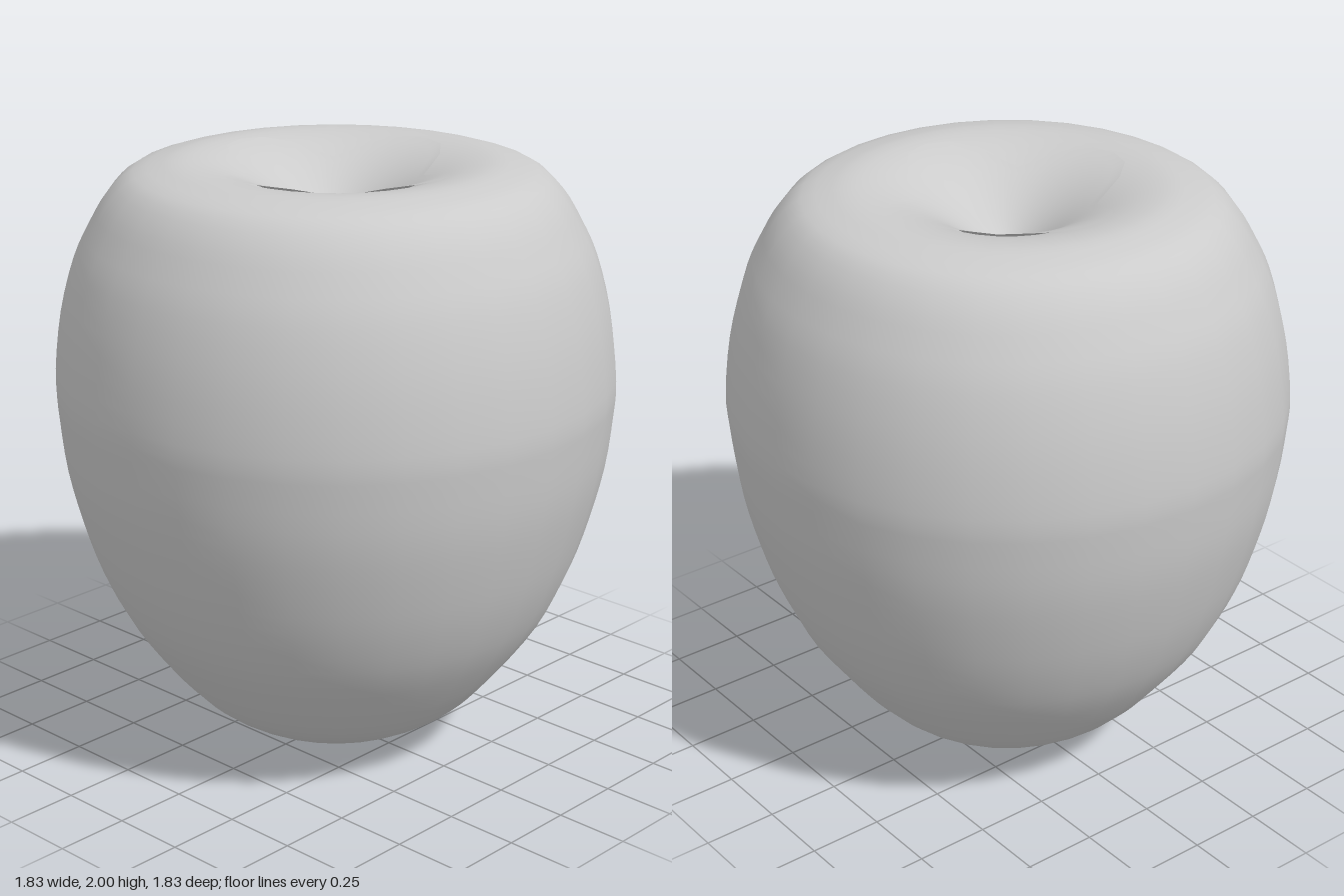
import * as THREE from 'three';
import { mergeVertices } from 'three/addons/utils/BufferGeometryUtils.js';

const SIDES = 32;
const RIM = 0.52; // radius where the top dimple begins

// Height of the dimple at radius r
const dimple = (r) => 2 - 0.31 * (1 - Math.min(1, Math.hypot(r, 0.06) / RIM)) ** 2;

// Radius of the four-lobed calyx at an angle
const LOBE = [0.44, 0.425, 0.373, 0.315, 0.283];
function lobeRadius(angle) {
  const quarter = Math.PI / 2;
  let a = ((angle % quarter) + quarter) % quarter;
  a = Math.min(a, quarter - a);
  const s = Math.min(3.9999, (a / (Math.PI / 4)) * 4);
  const i = Math.floor(s);
  return THREE.MathUtils.lerp(LOBE[i], LOBE[i + 1], s - i);
}

// Lathe a profile, move its vertices by a rule, and smooth across the seam
function shapedLathe(points, rule) {
  let geo = new THREE.LatheGeometry(points, SIDES);
  const pos = geo.attributes.position;
  for (let i = 0; i < pos.count; i++) {
    const x = pos.getX(i), z = pos.getZ(i);
    const angle = Math.atan2(z, x);
    const [r, y] = rule(Math.hypot(x, z), pos.getY(i), angle);
    pos.setXYZ(i, r * Math.cos(angle), y, r * Math.sin(angle));
  }
  geo.deleteAttribute('normal');
  geo.deleteAttribute('uv');
  geo = mergeVertices(geo, 1e-4);
  geo.computeVertexNormals();
  return geo;
}

export function createModel() {
  const group = new THREE.Group();
  group.name = 'fruit';

  // Body: outer curve from the base to the rim, then down into the dimple
  const outer = new THREE.SplineCurve([
    [0, 0], [0.14, 0.012], [0.275, 0.052], [0.4, 0.115], [0.49, 0.185],
    [0.59, 0.3], [0.71, 0.47], [0.79, 0.64], [0.845, 0.81], [0.89, 1.0],
    [0.911, 1.18], [0.916, 1.3], [0.892, 1.5], [0.845, 1.68], [0.79, 1.8],
    [0.73, 1.9], [0.65, 1.97], [RIM, 2],
  ].map(([x, y]) => new THREE.Vector2(x, y)));
  const profile = outer.getPoints(51);
  profile[0].x = 0;
  for (let i = 1; i <= 12; i++) {
    const r = RIM * (1 - i / 12);
    profile.push(new THREE.Vector2(r, dimple(r)));
  }
  // Slightly fuller on the diagonals
  const bodyGeo = shapedLathe(profile, (r, y, a) => [
    r * (1 + 0.006 * (1 - Math.cos(4 * a)) * Math.min(1, r / 0.9)), y,
  ]);
  const body = new THREE.Mesh(bodyGeo, new THREE.MeshStandardMaterial({ color: 0xcccccc }));
  body.name = 'fruitBody';
  group.add(body);

  // Calyx: thin four-lobed sheet lying in the dimple
  const rings = [];
  for (let i = 0; i <= 10; i++) rings.push(new THREE.Vector2(1 - i / 10, 0));
  const calyxGeo = shapedLathe(rings, (t, _, a) => {
    const r = t * lobeRadius(a);
    return [r, dimple(r) + 0.007];
  });
  const calyx = new THREE.Mesh(
    calyxGeo,
    new THREE.MeshStandardMaterial({ color: 0xcccccc, side: THREE.DoubleSide }),
  );
  calyx.name = 'calyx';
  group.add(calyx);

  return group;
}
